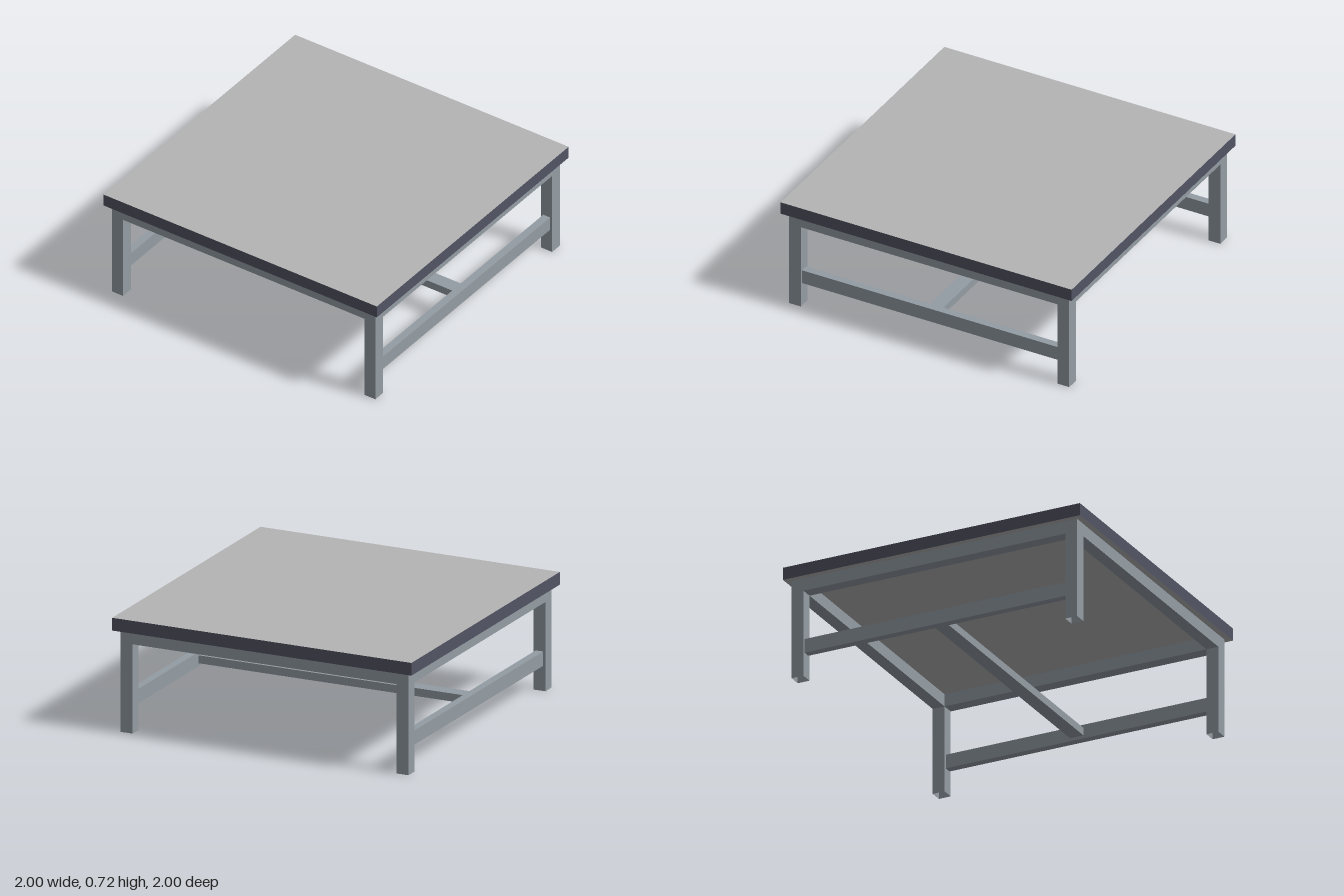
import * as THREE from 'three';

const material = (name, color) => {
  const m = new THREE.MeshStandardMaterial({ color });
  m.name = name;
  return m;
};

export function createModel() {
  const table = new THREE.Group();
  table.name = 'table';

  const topGrey = material('top grey', 0xb4b4b5);
  const edgeSlate = material('edge slate', 0x525463);
  const steel = material('frame steel', 0x949da4);
  steel.side = THREE.DoubleSide; // legs are open tubes

  const UNDER = 0.642, TOP = 0.722; // tabletop heights
  const LEG = 0.08, LEG_POS = 0.922; // tube width and axis offset
  const INNER = 2 * (LEG_POS - LEG / 2); // clear span between legs
  const BAR_Y = 0.203; // height of the lower bars

  const add = (name, geometry, mat, x, y, z) => {
    const mesh = new THREE.Mesh(geometry, mat);
    mesh.name = name;
    mesh.position.set(x, y, z);
    table.add(mesh);
  };
  const box = (w, h, d) => new THREE.BoxGeometry(w, h, d);

  // Tabletop slab with a dark edge band
  add('tabletop', box(2, TOP - UNDER, 2),
    [edgeSlate, edgeSlate, topGrey, topGrey, edgeSlate, edgeSlate],
    0, (TOP + UNDER) / 2, 0);

  // Square tube legs, open at the foot
  const legGeometry = box(LEG, UNDER, LEG);
  const faces = Array.from(legGeometry.index.array);
  faces.splice(18, 6); // drop the bottom face
  legGeometry.setIndex(faces);
  legGeometry.clearGroups();

  for (const s of [-1, 1]) {
    for (const t of [-1, 1]) add('leg', legGeometry, steel, s * LEG_POS, UNDER / 2, t * LEG_POS);

    // Apron rails under the top
    const railY = UNDER - LEG / 2 - 0.001;
    add('frontBackApron', box(INNER, LEG, LEG), steel, 0, railY, s * LEG_POS);
    add('sideApron', box(LEG, LEG, INNER), steel, s * LEG_POS, railY, 0);

    // Upright lower bars at front and back
    add('lowerBar', box(INNER, 0.09, 0.05), steel, 0, BAR_Y, s * LEG_POS);
  }

  // Flat stretcher joining the two lower bars
  add('centreStretcher', box(0.09, 0.05, 2 * LEG_POS - 0.05), steel, 0, BAR_Y, 0);

  return table;
}
